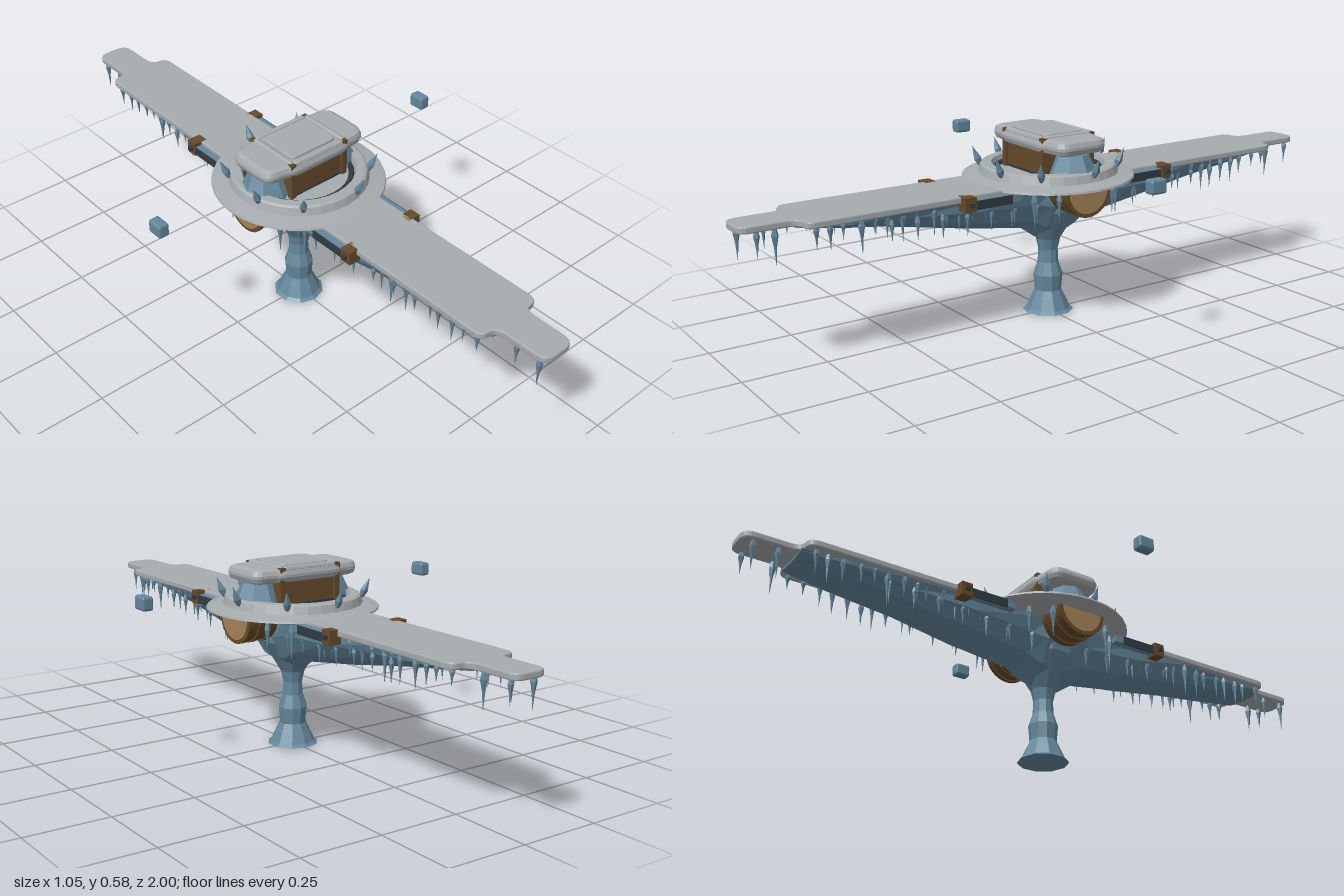
import * as THREE from 'three';

const mat = (name, color, opts = {}) => {
  const m = new THREE.MeshStandardMaterial({ color, ...opts });
  m.name = name;
  return m;
};

export function createModel() {
  const snow = mat('snow', 0xa6abae, { flatShading: true, side: THREE.DoubleSide });
  const ice = mat('ice', 0x64879c, { flatShading: true, side: THREE.DoubleSide });
  const wood = mat('wood', 0x664a2a, { flatShading: true });
  const tan = mat('barrel end', 0xa58457, { flatShading: true });
  const iron = mat('iron', 0x333a42, { flatShading: true });

  const root = new THREE.Group();
  root.name = 'frozenBridge';
  let seed = 7;
  const rand = () => (seed = (seed * 16807) % 2147483647) / 2147483647;
  const add = (name, geo, material, x = 0, y = 0, z = 0) => {
    const m = new THREE.Mesh(geo, material);
    m.name = name;
    m.position.set(x, y, z);
    root.add(m);
    return m;
  };
  const box = (name, w, h, d, material, x, y, z) =>
    add(name, new THREE.BoxGeometry(w, h, d), material, x, y, z);
  const lathe = (pts, n) => new THREE.LatheGeometry(pts.map(p => new THREE.Vector2(...p)), n);

  // Slab with rounded corners, lying flat; outline is the +x, +z quarter
  const slab = (quarter, r, h, bevel = 0) => {
    const mir = (sx, sz, rev) => {
      const q = quarter.map(([x, z]) => [x * sx, z * sz]);
      return rev ? q.reverse() : q;
    };
    const pts = [...mir(1, 1), ...mir(-1, 1, true), ...mir(-1, -1), ...mir(1, -1, true)]
      .map(p => new THREE.Vector2(...p));
    const s = new THREE.Shape();
    pts.forEach((p, i) => {
      const a = pts[(i + pts.length - 1) % pts.length], b = pts[(i + 1) % pts.length];
      const p0 = p.clone().add(a.clone().sub(p).setLength(Math.min(r, a.distanceTo(p) / 2)));
      const p1 = p.clone().add(b.clone().sub(p).setLength(Math.min(r, b.distanceTo(p) / 2)));
      i ? s.lineTo(p0.x, p0.y) : s.moveTo(p0.x, p0.y);
      s.quadraticCurveTo(p.x, p.y, p1.x, p1.y);
    });
    s.closePath();
    const g = new THREE.ExtrudeGeometry(s, {
      depth: h - 2 * bevel, curveSegments: 5, bevelEnabled: bevel > 0,
      bevelSize: bevel, bevelOffset: -bevel, bevelThickness: bevel, bevelSegments: 2,
    });
    return g.rotateX(-Math.PI / 2).translate(0, bevel, 0);
  };

  // Deck
  add('deck', slab([[0.11, 0.835], [0.055, 0.835], [0.055, 1]], 0.035, 0.02, 0.004), snow, 0, 0.421, 0);

  // Pedestal stem
  add('stem', lathe([[0, 0], [0.078, 0.004], [0.068, 0.012], [0.053, 0.045], [0.041, 0.07], [0.045, 0.12],
    [0.032, 0.16], [0.03, 0.2], [0.038, 0.235], [0.062, 0.275], [0.1, 0.335], [0.11, 0.42]], 10), ice);

  // Ice keel lofted along the deck: z, top half width, lowest y
  const half = [[0, 0.105, 0.235], [0.05, 0.105, 0.245], [0.1, 0.105, 0.28], [0.3, 0.1, 0.312],
    [0.5, 0.095, 0.35], [0.7, 0.09, 0.385], [0.84, 0.075, 0.412]];
  const sections = [...half.slice(1).reverse().map(([z, w, y]) => [-z, w, y]), ...half];
  const pos = [], idx = [];
  const N = 7;
  sections.forEach(([z, w, yb], i) => {
    const d = 0.422 - yb;
    const k = 1 + (i % 2 ? 0.05 : -0.05);
    [[-1, 0], [-0.93 * k, 0.35], [-0.62 * k, 0.75], [0, 1], [0.62 * k, 0.75], [0.93 * k, 0.35], [1, 0]]
      .forEach(([a, b]) => pos.push(a * w, 0.422 - b * d, z));
  });
  for (let i = 0; i < sections.length - 1; i++) {
    for (let j = 0; j < N - 1; j++) {
      const a = i * N + j, b = a + N;
      idx.push(a, a + 1, b, a + 1, b + 1, b);
    }
  }
  const last = (sections.length - 1) * N;
  for (let j = 1; j < N - 1; j++) idx.push(0, j + 1, j, last, last + j, last + j + 1);
  const keel = new THREE.BufferGeometry();
  keel.setAttribute('position', new THREE.Float32BufferAttribute(pos, 3));
  keel.setIndex(idx);
  keel.computeVertexNormals();
  add('keel', keel, ice);

  // Round platform with raised rim
  add('platform', lathe([[0, 0.422], [0.21, 0.422], [0.262, 0.434], [0.26, 0.44], [0.212, 0.449],
    [0.205, 0.472], [0.198, 0.476], [0.172, 0.476], [0.165, 0.455], [0, 0.455]], 32), snow);
  add('innerRing', new THREE.TorusGeometry(0.158, 0.009, 6, 32).rotateX(Math.PI / 2), iron, 0, 0.456, 0);

  // Chest with corner posts and straps
  box('chest', 0.2, 0.1, 0.172, wood, 0, 0.505, 0);
  for (const sx of [1, -1]) {
    for (const sz of [1, -1]) box('chestPost', 0.018, 0.122, 0.018, wood, sx * 0.098, 0.511, sz * 0.085);
    const shell = new THREE.CylinderGeometry(0.05, 0.085, 0.07, 8);
    const m = add('iceShell', shell, ice, sx * 0.125, 0.486, 0);
    m.scale.z = 0.95;
  }
  for (const sz of [1, -1]) {
    box('chestBand', 0.184, 0.006, 0.006, iron, 0, 0.537, sz * 0.087);
    box('chestBand', 0.184, 0.006, 0.006, iron, 0, 0.46, sz * 0.087);
  }

  // Snow heaped on the chest
  add('snowCap', slab([[0.19, 0.084], [0.115, 0.09], [0.1, 0.1]], 0.04, 0.044, 0.018), snow, 0, 0.526, 0);
  add('snowLid', slab([[0.085, 0.07]], 0.02, 0.012, 0.004), snow, 0, 0.566, 0);
  for (const s of [1, -1]) {
    add('snowRoll', new THREE.CapsuleGeometry(0.011, 0.15, 3, 8).rotateX(Math.PI / 2), snow, s * 0.098, 0.566, 0);
    add('snowRoll', new THREE.CapsuleGeometry(0.01, 0.17, 3, 8).rotateZ(Math.PI / 2), snow, 0, 0.566, s * 0.085);
  }

  // Half barrels on both flanks
  for (const s of [1, -1]) {
    const halfDrum = (name, r, h, x, material) => {
      const g = new THREE.CylinderGeometry(r, r, h, 16, 1, false, 0, Math.PI);
      // Flat side up, axis along x
      g.rotateY(-Math.PI / 2).rotateX(Math.PI / 2).rotateY(Math.PI / 2);
      g.computeBoundingBox();
      if (g.boundingBox.max.y > r / 2) g.rotateX(Math.PI);
      add(name, g, material, s * x, 0.424, 0);
    };
    halfDrum('barrel', 0.075, 0.1, 0.155, wood);
    for (const x of [0.125, 0.165, 0.2]) halfDrum('barrelHoop', 0.08, 0.013, x, wood);
    halfDrum('barrelEnd', 0.068, 0.006, 0.206, tan);
  }

  // Side rails and their brackets
  for (const sx of [1, -1]) {
    for (const sz of [1, -1]) {
      box('rail', 0.026, 0.024, 0.17, ice, sx * 0.118, 0.418, sz * 0.27);
      box('railFace', 0.004, 0.026, 0.12, iron, sx * 0.132, 0.416, sz * 0.275);
      box('bracket', 0.046, 0.042, 0.036, wood, sx * 0.113, 0.42, sz * 0.355);
      box('bracketPin', 0.016, 0.012, 0.014, iron, sx * 0.137, 0.42, sz * 0.355);
    }
  }
  for (const sz of [1, -1]) box('crossRail', 0.2, 0.018, 0.018, wood, 0, 0.413, sz * 0.35);

  // Hanging icicles, hung by the top
  const icicleGeo = lathe([[0, -1], [0.45, -0.5], [1, -0.22], [0.5, 0], [0, 0]], 5);
  const icicle = (x, z, len, y = 0.424) => {
    const m = add('icicle', icicleGeo, ice, x, y, z);
    const r = 0.006 + len * 0.04;
    m.scale.set(r, len, r);
    m.rotation.y = rand() * 6;
  };
  for (const sx of [1, -1]) {
    for (const sz of [1, -1]) {
      for (let i = 0; i < 13; i++) {
        icicle(sx * (0.094 - 0.012 * rand()), sz * (0.27 + i * 0.044 + rand() * 0.015), 0.05 + rand() * 0.06);
      }
      for (let i = 0; i < 2; i++) icicle(sx * 0.04, sz * (0.87 + i * 0.07 + rand() * 0.04), 0.06 + rand() * 0.05);
      // Short ones growing from the keel flanks
      for (let i = 0; i < 7; i++) icicle(sx * 0.088, sz * (0.1 + i * 0.08), 0.05 + rand() * 0.03, 0.38 + i * 0.004);
    }
  }
  for (let i = 0; i < 18; i++) {
    const a = (i / 18) * Math.PI * 2 + 0.1;
    if (Math.abs(Math.sin(a)) > 0.38) icicle(0.205 * Math.cos(a), 0.205 * Math.sin(a), 0.08 + rand() * 0.04);
  }

  // Ice spikes on the rim, leaning outward
  const spikeGeo = lathe([[0, -0.012], [0.008, 0], [0.012, 0.018], [0, 0.06]], 5);
  for (const [x, z] of [[-0.015, -0.205], [0.13, -0.16], [-0.18, -0.11], [0.205, -0.02],
    [-0.195, 0.05], [0.16, 0.135], [-0.125, 0.165], [0.05, 0.2]]) {
    const m = add('iceSpike', spikeGeo, ice, x, 0.465, z);
    m.quaternion.setFromUnitVectors(new THREE.Vector3(0, 1, 0), new THREE.Vector3(x * 2, 1, z * 2).normalize());
  }

  // Floating ice blocks
  for (const s of [1, -1]) {
    add('floatingBlock', slab([[0.017, 0.026]], 0.007, 0.042, 0.007), ice, s * 0.506, 0.48, 0);
  }
  return root;
}
